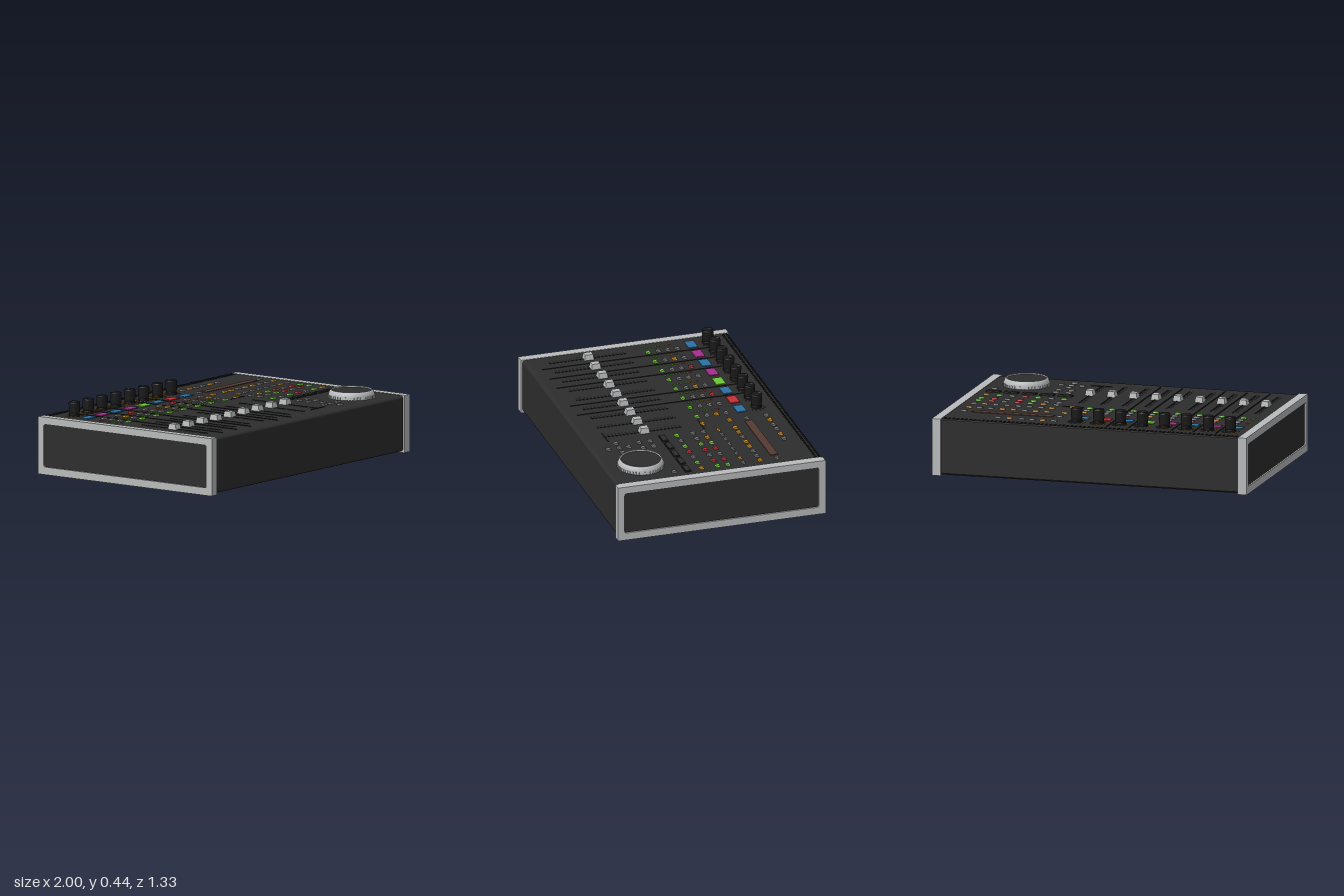
import * as THREE from 'three';
import { mergeGeometries } from 'three/addons/utils/BufferGeometryUtils.js';

const colours = {
  charcoal: 0x2d2d2d, black: 0x191919, aluminium: 0xb9bbbc, grey: 0x747474, orange: 0xc88a20,
  green: 0x6cc933, red: 0xc62f38, blue: 0x2a71a5, magenta: 0xa62e8c, brown: 0x553a32,
};
const TOP = 0.354;

// A box whose top face is inset, standing on y
function key(w, h, d, x, z, inset = 0.004, y = TOP) {
  const box = new THREE.BoxGeometry(w, h, d);
  const p = box.attributes.position;
  for (let i = 0; i < p.count; i++) {
    if (p.getY(i) > 0) {
      p.setX(i, p.getX(i) - Math.sign(p.getX(i)) * inset);
      p.setZ(i, p.getZ(i) - Math.sign(p.getZ(i)) * inset);
    }
  }
  const g = box.toNonIndexed();
  g.translate(x, y + h / 2, z);
  g.computeVertexNormals();
  return g;
}

function roundRect(path, w, h, r, cy) {
  const x = w / 2, b = cy - h / 2, t = cy + h / 2;
  path.moveTo(-x + r, b);
  path.lineTo(x - r, b).quadraticCurveTo(x, b, x, b + r);
  path.lineTo(x, t - r).quadraticCurveTo(x, t, x - r, t);
  path.lineTo(-x + r, t).quadraticCurveTo(-x, t, -x, t - r);
  path.lineTo(-x, b + r).quadraticCurveTo(-x, b, -x + r, b);
  return path;
}

export function createModel() {
  const group = new THREE.Group();
  const mats = {};
  for (const [name, color] of Object.entries(colours)) {
    mats[name] = new THREE.MeshStandardMaterial({ color });
    mats[name].name = name;
  }
  const add = (name, geometry, mat) => {
    const m = new THREE.Mesh(geometry, mats[mat]);
    m.name = name;
    group.add(m);
    return m;
  };
  // Small parts are gathered by name and colour, then merged
  const batches = {};
  const put = (name, mat, geometry) => {
    const id = name + '|' + mat;
    (batches[id] ??= []).push(geometry);
  };
  const button = (mat, x, z, d = 0.027) => put('button', mat, key(0.037, 0.009, d, x, z));
  const dot = (name, mat, x, z, w = 0.009, d = w) => put(name, mat, key(w, 0.004, d, x, z, 0));

  // Case, a rounded section swept from side to side
  const section = new THREE.Shape();
  section.moveTo(-0.645, 0.006);
  section.lineTo(0.625, 0.006).quadraticCurveTo(0.655, 0.006, 0.655, 0.036);
  section.lineTo(0.655, 0.335).quadraticCurveTo(0.655, TOP, 0.62, TOP);
  section.lineTo(-0.65, TOP).lineTo(-0.655, TOP - 0.005).lineTo(-0.655, 0.016);
  section.closePath();
  const caseGeo = new THREE.ExtrudeGeometry(section, { depth: 1.9, bevelEnabled: false, curveSegments: 6 });
  caseGeo.translate(0, 0, -0.95).rotateY(-Math.PI / 2);
  add('case', caseGeo, 'charcoal');

  // End cheeks with recessed dark panels
  for (const s of [-1, 1]) {
    const frame = roundRect(new THREE.Shape(), 1.33, 0.356, 0.004, 0.178);
    frame.holes.push(roundRect(new THREE.Path(), 1.244, 0.264, 0.014, 0.179));
    const g = new THREE.ExtrudeGeometry(frame, { depth: 0.055, bevelEnabled: false, curveSegments: 4 });
    g.translate(0, 0, -0.0275).rotateY(Math.PI / 2).translate(s * 0.9725, 0, 0);
    add(s > 0 ? 'leftCheek' : 'rightCheek', g, 'aluminium');
    const panel = new THREE.BoxGeometry(0.045, 0.27, 1.25).translate(s * 0.9675, 0.179, 0);
    add(s > 0 ? 'leftCheekPanel' : 'rightCheekPanel', panel, 'charcoal');
  }

  // Vent holes along the back
  for (const z of [-0.645, -0.622]) {
    for (let i = 0; i < 70; i++) dot('vent', 'black', -0.925 + i * 0.0268, z, 0.012);
  }

  // Channel strips
  const screens = ['blue', 'magenta', 'blue', 'magenta', 'green', 'blue', 'red', 'blue'];
  const knobProfile = [[0.034, 0], [0.034, 0.012], [0.031, 0.016], [0.034, 0.03], [0.035, 0.084], [0.032, 0.09], [0, 0.09]]
    .map(([r, y]) => new THREE.Vector2(r, y));
  for (let c = 0; c < 9; c++) {
    const x = -0.85 + c * 0.1396;
    // Fader with slot and scale
    put('faderSlot', 'black', key(0.008, 0.002, 0.5, x, 0.27, 0));
    put('faderCap', 'aluminium', key(0.053, 0.034, 0.062, x, 0.265, 0.006));
    for (let i = 0; i < 22; i++) dot('faderScale', 'grey', x - 0.021, 0.035 + i * 0.0226, 0.008, 0.005);
    if (c === 8) continue;

    // Rotary knob with indicator ring
    const knob = new THREE.LatheGeometry(knobProfile, 20).toNonIndexed();
    knob.computeVertexNormals();
    knob.translate(x, TOP, -0.5);
    put('knob', 'black', knob);
    put('knobMark', 'grey', key(0.004, 0.002, 0.02, x, -0.515, 0, TOP + 0.089));
    for (let i = 0; i < 11; i++) {
      const a = (-135 + i * 27) * Math.PI / 180;
      dot('knobLight', i < 6 ? 'orange' : 'brown', x + Math.sin(a) * 0.05, -0.5 - Math.cos(a) * 0.05, 0.008);
    }

    // Channel screen, buttons and level meter
    put('channelScreen', screens[c], key(0.095, 0.005, 0.06, x, -0.393, 0));
    button([2, 5].includes(c) ? 'red' : 'grey', x + 0.03, -0.297);
    button([1, 4, 7].includes(c) ? 'orange' : 'grey', x + 0.03, -0.235);
    button('grey', x + 0.03, -0.175);
    button('green', x + 0.03, -0.11);
    for (let i = 0; i < 10; i++) {
      dot('meterLight', i < 1 ? 'red' : i < 4 ? 'orange' : 'green', x - 0.04, -0.27 + i * 0.0183);
    }
  }

  // Dividers between channels and the master fader marks
  for (const x of [-0.78, -0.636, -0.497, -0.224, -0.086]) {
    put('divider', 'black', key(0.008, 0.003, 1.155, x, 0.003, 0));
  }
  for (const z of [-0.1, 0.515]) put('masterMark', 'black', key(0.134, 0.003, 0.007, 0.267, z, 0));

  // Control section: letters give the colour of each button in a row
  const code = { g: 'grey', o: 'orange', n: 'green', r: 'red' };
  const row = (letters, xs, z, d) => [...letters].forEach((l, i) => button(code[l], xs[i], z, d));
  const eight = [0.38, 0.45, 0.522, 0.593, 0.664, 0.736, 0.807, 0.875];
  const seven = [0.38, 0.462, 0.545, 0.628, 0.71, 0.792, 0.875];
  row('goggog', [0.267, 0.337, 0.406, 0.47, 0.55, 0.62], -0.52);
  row('gg', [0.267, 0.875], -0.393, 0.022);
  row('oo', [0.267, 0.267], -0.285);
  row('ogogoggo'.replace('ogog', 'oogo'), eight, -0.285);
  row('ogggggog', eight, -0.178, 0.018);
  button('orange', 0.267, -0.11);
  row('gonrgrn', seven, -0.08);
  row('ggnrgrn', seven, -0.013);
  row('ngnrgno', seven, 0.09);
  row('g', [0.875], 0.265);
  row('gg', [0.406, 0.486], 0.27);
  row('gg', [0.406, 0.486], 0.34);
  row('g', [0.448], 0.42);
  row('ggg', [0.38, 0.448, 0.514], 0.48);
  row('g', [0.448], 0.55);

  // Main display and transport keys
  put('display', 'brown', key(0.519, 0.004, 0.049, 0.565, -0.391, 0));
  for (let i = 0; i < 5; i++) {
    const x = 0.4 + i * 0.1143;
    put('transportKeyRim', 'black', key(0.09, 0.007, 0.04, x, 0.182, 0.001));
    put('transportKey', 'charcoal', key(0.08, 0.004, 0.03, x, 0.182, 0.001, TOP + 0.005));
  }

  // Jog wheel with a knurled rim
  const ring = [[0.142, 0], [0.142, 0.018], [0.136, 0.036], [0.128, 0.047], [0.122, 0.047], [0.12, 0.038]]
    .map(([r, y]) => new THREE.Vector2(r, y));
  const rim = add('jogRim', new THREE.LatheGeometry(ring, 48), 'aluminium');
  rim.position.set(0.72, TOP, 0.43);
  const disc = add('jogDisc', new THREE.CylinderGeometry(0.122, 0.122, 0.041, 48), 'charcoal');
  disc.position.set(0.72, TOP + 0.0205, 0.43);
  for (let i = 0; i < 48; i++) {
    const a = i / 48 * Math.PI * 2;
    const tooth = new THREE.BoxGeometry(0.006, 0.018, 0.008).toNonIndexed();
    tooth.translate(0, 0.009, 0.142).rotateY(a).translate(0.72, TOP, 0.43);
    put('jogKnurl', 'aluminium', tooth);
  }

  for (const [id, list] of Object.entries(batches)) {
    const [name, mat] = id.split('|');
    add(name, mergeGeometries(list), mat);
  }
  return group;
}
